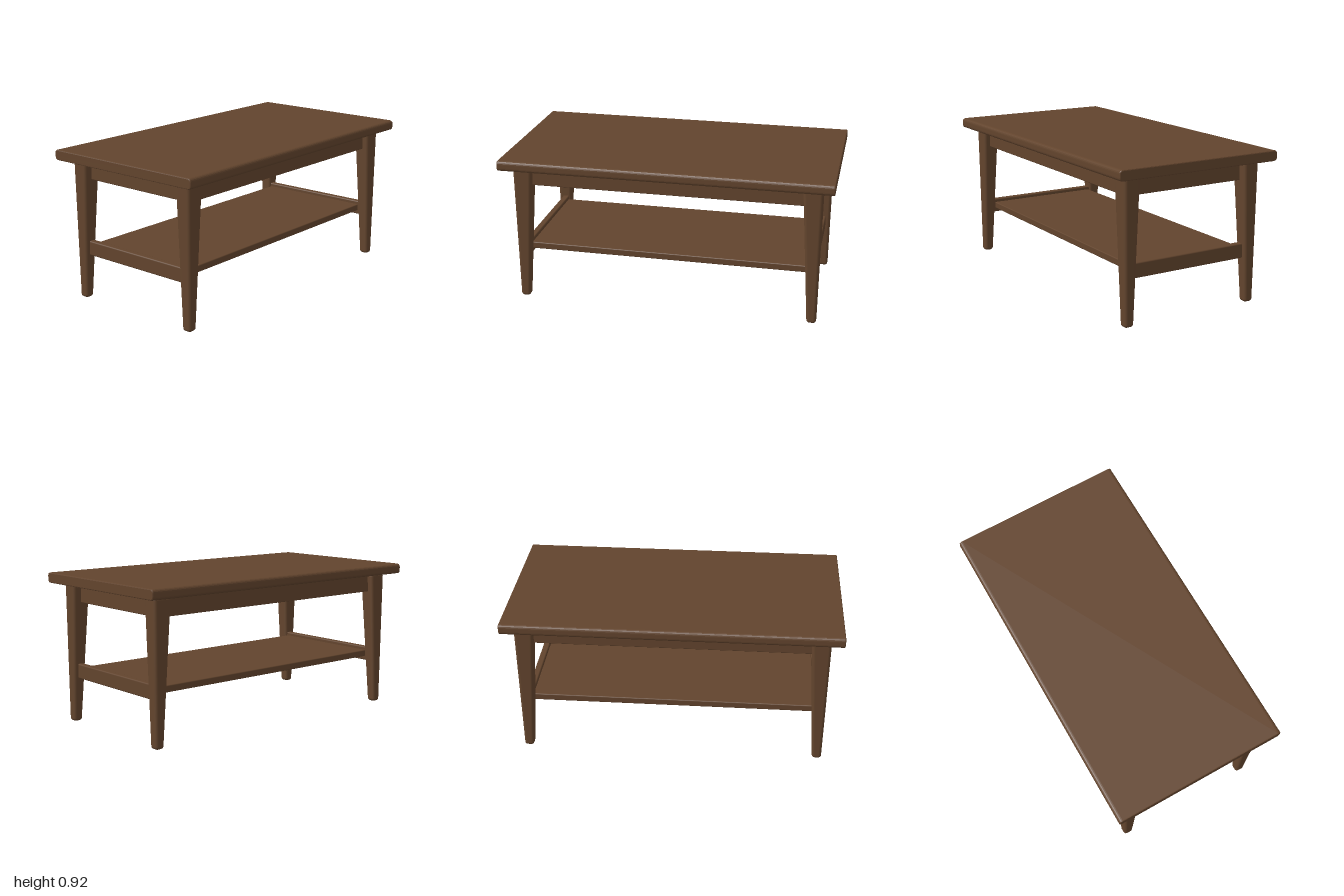
import * as THREE from 'three';
import { RoundedBoxGeometry } from 'three/addons/geometries/RoundedBoxGeometry.js';

const wood = new THREE.MeshStandardMaterial({ color: 0x62442d });
wood.name = 'brown wood';

function add(parent, name, geometry, x = 0, y = 0, z = 0) {
  const mesh = new THREE.Mesh(geometry, wood);
  mesh.name = name;
  mesh.position.set(x, y, z);
  parent.add(mesh);
  return mesh;
}

// Board with slightly softened edges, given by its extents
function board(parent, name, [x0, x1], [y0, y1], [z0, z1], radius = 0.005) {
  const geometry = new RoundedBoxGeometry(x1 - x0, y1 - y0, z1 - z0, 2, radius);
  return add(parent, name, geometry, (x0 + x1) / 2, (y0 + y1) / 2, (z0 + z1) / 2);
}

// Table top: rounded profile run along x, with tiny bevels at the ends
function topGeometry() {
  const bevel = 0.006, w = 0.535 - bevel, h = 0.0315 - bevel, r = 0.016;
  const s = new THREE.Shape();
  s.moveTo(-w + r, -h);
  s.lineTo(w - r, -h);
  s.quadraticCurveTo(w, -h, w, -h + r);
  s.lineTo(w, h - r);
  s.quadraticCurveTo(w, h, w - r, h);
  s.lineTo(-w + r, h);
  s.quadraticCurveTo(-w, h, -w, h - r);
  s.lineTo(-w, -h + r);
  s.quadraticCurveTo(-w, -h, -w + r, -h);
  const depth = 2 - 2 * bevel;
  const g = new THREE.ExtrudeGeometry(s, {
    depth, bevelEnabled: true, bevelSize: bevel, bevelThickness: bevel, bevelSegments: 2, curveSegments: 5,
  });
  return g.translate(0, 0, -depth / 2).rotateY(Math.PI / 2);
}

// Tapered leg for the corner (sx, sz): nearly straight outside, sloping inside
function legGeometry(sx, sz) {
  const height = 0.858;
  const g = new RoundedBoxGeometry(1, height, 1, 4, 0.018);
  const p = g.attributes.position;
  const half = 0.5, edge = 0.018;
  // Keeps the corner radius while shrinking the unit box to the wanted width
  const place = (v, inner, outer, side) => {
    const mid = (inner + outer) / 2, size = (outer - inner) / 2;
    const out = Math.sign(v) * side;
    const inset = Math.min(half - Math.abs(v), edge);
    return side * (mid + out * (size - inset));
  };
  const lerp = THREE.MathUtils.lerp;
  for (let i = 0; i < p.count; i++) {
    const y = p.getY(i) + height / 2, t = y / height;
    p.setXYZ(i,
      place(p.getX(i), lerp(0.869, 0.814, t), lerp(0.926, 0.93, t), sx), y,
      place(p.getZ(i), lerp(0.391, 0.355, t), lerp(0.45, 0.459, t), sz));
  }
  return g;
}

export function createModel() {
  const table = new THREE.Group();
  table.name = 'coffeeTable';

  add(table, 'tableTop', topGeometry(), 0, 0.887, 0);

  // Four legs
  for (const [sx, side] of [[1, 'Left'], [-1, 'Right']]) {
    for (const [sz, end] of [[1, 'front'], [-1, 'back']]) {
      add(table, `${end}${side}Leg`, legGeometry(sx, sz));
    }
  }

  // Apron below the top
  for (const [s, end] of [[1, 'front'], [-1, 'back']]) {
    const z = [0.375 * s, 0.42 * s].sort((a, b) => a - b);
    board(table, `${end}Apron`, [-0.84, 0.84], [0.74, 0.858], z);
  }

  // Side aprons and the low rails that carry the shelf
  for (const [s, side] of [[1, 'left'], [-1, 'right']]) {
    const apronX = [0.835 * s, 0.88 * s].sort((a, b) => a - b);
    const railX = [0.86 * s, 0.9 * s].sort((a, b) => a - b);
    board(table, `${side}Apron`, apronX, [0.74, 0.858], [-0.38, 0.38]);
    board(table, `${side}Rail`, railX, [0.272, 0.362], [-0.4, 0.4], 0.008);
  }

  // Lower shelf
  board(table, 'shelf', [-0.87, 0.87], [0.298, 0.34], [-0.372, 0.372], 0.006);

  return table;
}
